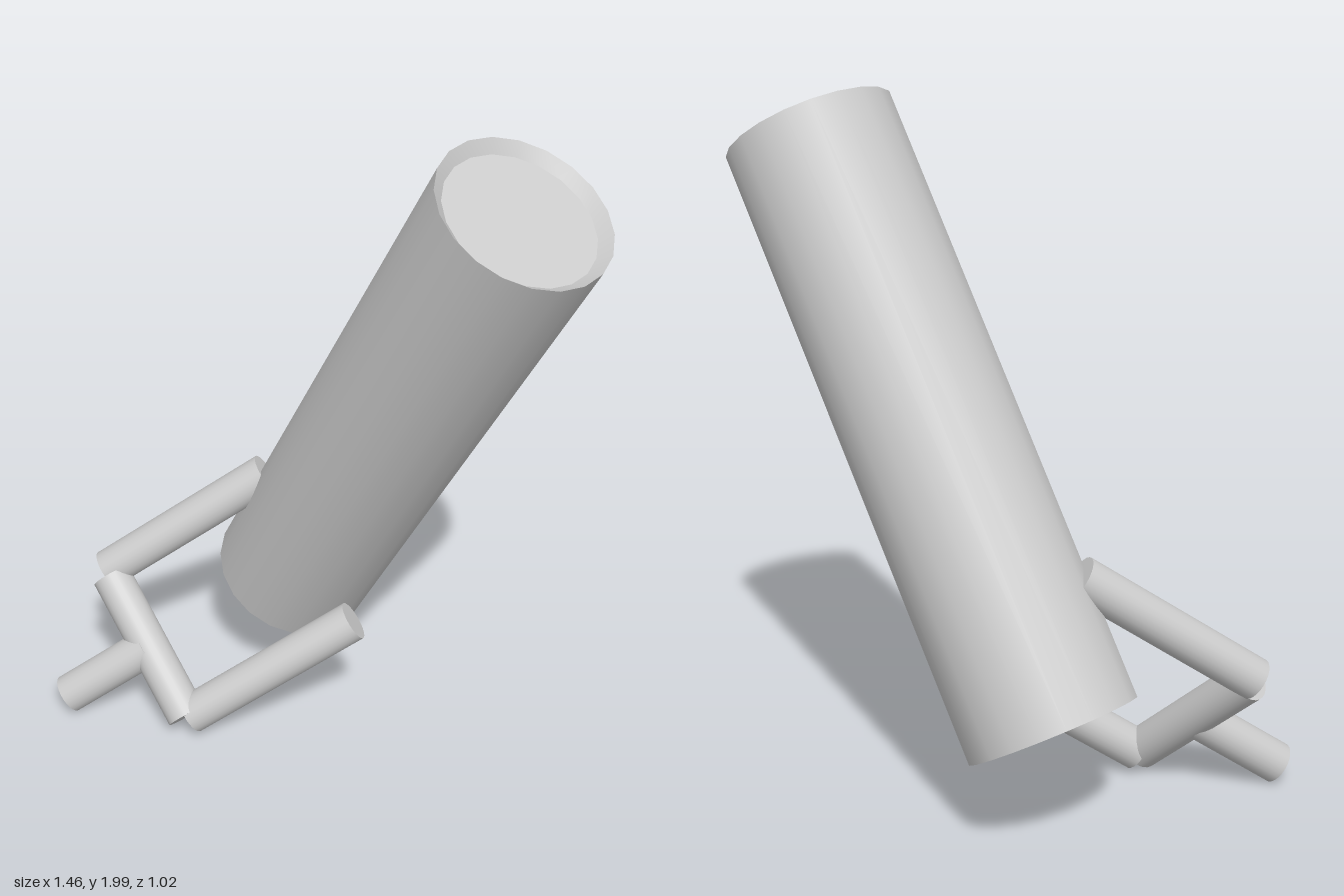
import * as THREE from 'three';
import { toCreasedNormals } from 'three/addons/utils/BufferGeometryUtils.js';

const material = new THREE.MeshStandardMaterial({ color: 0xcccccc });

// Places a geometry made along +y so that its axis runs from a to b
function alignBetween(mesh, a, b) {
  const dir = b.clone().sub(a).normalize();
  mesh.position.copy(a).add(b).multiplyScalar(0.5);
  mesh.quaternion.setFromUnitVectors(new THREE.Vector3(0, 1, 0), dir);
  return mesh;
}

function rod(name, a, b, radius = 0.061) {
  const geometry = new THREE.CylinderGeometry(radius, radius, a.distanceTo(b), 24);
  const mesh = new THREE.Mesh(geometry, material);
  mesh.name = name;
  return alignBetween(mesh, a, b);
}

// Closed cylinder with a thin lip and a shallow dished recess at both ends
function canister(name, a, b, radius) {
  const h = a.distanceTo(b) / 2;
  const floor = radius * 0.87;
  const recess = 0.03;
  const profile = [
    [0, -h + recess], [floor, -h + recess], [radius, -h],
    [radius, h], [floor, h - recess], [0, h - recess],
  ].map(([x, y]) => new THREE.Vector2(x, y));
  const geometry = toCreasedNormals(new THREE.LatheGeometry(profile, 20), 0.4);
  const mesh = new THREE.Mesh(geometry, material);
  mesh.name = name;
  return alignBetween(mesh, a, b);
}

export function createModel() {
  const model = new THREE.Group();
  model.name = 'canisterOnFork';
  const v = (x, y, z) => new THREE.Vector3(x, y, z);

  // Leaning main body
  model.add(canister('canister', v(-0.4, 0.337, -0.267), v(0.508, 1.87, -0.267), 0.245));

  // Fork: two parallel arms joined by a crossbar, with a short handle behind it
  const fork = new THREE.Group();
  fork.name = 'fork';
  const armStep = v(0.3, 0.336, -0.402);
  const upper = v(-0.69, 0.404, 0.25);
  const lower = v(-0.288, 0.064, 0.24);
  fork.add(rod('upperArm', upper, upper.clone().add(armStep)));
  fork.add(rod('lowerArm', lower, lower.clone().add(armStep)));
  fork.add(rod('crossbar', v(-0.665, 0.392, 0.255), v(-0.29, 0.063, 0.255)));
  fork.add(rod('handle', v(-0.63, 0.052, 0.466), v(-0.475, 0.226, 0.258)));
  model.add(fork);

  return model;
}
